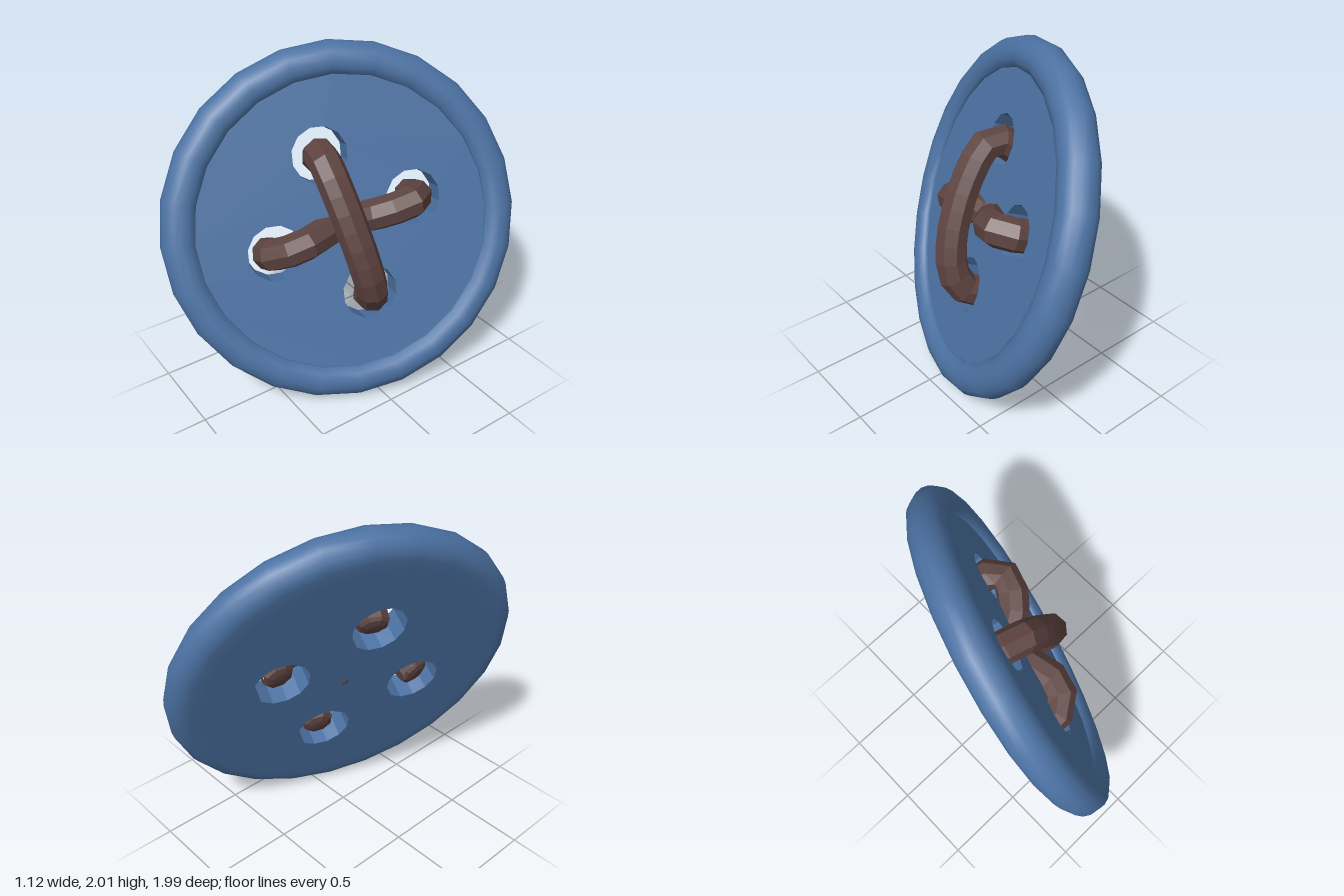
import * as THREE from 'three';

const blue = new THREE.MeshStandardMaterial({ color: 0x4c72a3 });
blue.name = 'buttonBlue';
const brown = new THREE.MeshStandardMaterial({ color: 0x5d4340, flatShading: true });
brown.name = 'threadBrown';

const FLOOR = 0.055, BACK = -0.112, HOLE_DIST = 0.436, HOLE_R = 0.165, THREAD_R = 0.097;
const RIM_R = 0.947, RIM_TUBE = 0.112;

function polygon(target, cx, cy, r, sides) {
  const pts = [];
  for (let i = 0; i < sides; i++) {
    const a = (i / sides) * Math.PI * 2;
    pts.push(new THREE.Vector2(cx + r * Math.cos(a), cy + r * Math.sin(a)));
  }
  return target.setFromPoints(pts);
}

function add(parent, name, geometry, material) {
  const mesh = new THREE.Mesh(geometry, material);
  mesh.name = name;
  parent.add(mesh);
  return mesh;
}

// Flat disc with four thread holes
function buildDisc(parent) {
  const shape = polygon(new THREE.Shape(), 0, 0, 0.885, 24);
  for (let i = 0; i < 4; i++) {
    const a = (i * Math.PI) / 2;
    shape.holes.push(polygon(new THREE.Path(), HOLE_DIST * Math.cos(a), HOLE_DIST * Math.sin(a), HOLE_R, 12));
  }
  const geo = new THREE.ExtrudeGeometry(shape, { depth: FLOOR - BACK, bevelEnabled: false });
  geo.translate(0, 0, BACK);
  add(parent, 'disc', geo, blue);
}

// Round rim, raised on the front and flush with the back
function buildRim(parent) {
  const profile = [new THREE.Vector2(0.88, BACK)];
  for (let deg = -90; deg <= 135; deg += 22.5) {
    const a = THREE.MathUtils.degToRad(deg);
    profile.push(new THREE.Vector2(RIM_R + RIM_TUBE * Math.cos(a), RIM_TUBE * Math.sin(a)));
  }
  profile.push(new THREE.Vector2(0.867, FLOOR));
  const geo = new THREE.LatheGeometry(profile, 24);
  geo.rotateX(Math.PI / 2);
  add(parent, 'rim', geo, blue);
}

// Thread strand between two opposite holes; points are [distance along, height above floor]
function buildStrand(parent, name, points, alongY) {
  const strand = new THREE.Group();
  strand.name = name;
  const curve = new THREE.CatmullRomCurve3(points.map(([t, h]) =>
    new THREE.Vector3(alongY ? 0 : t, alongY ? t : 0, h + FLOOR)));
  add(strand, 'strandBody', new THREE.TubeGeometry(curve, 12, THREAD_R, 8), brown);
  // Blunt rounded ends
  for (const end of [0, 1]) {
    const cap = add(strand, 'strandEnd',
      new THREE.SphereGeometry(THREAD_R, 8, 3, 0, Math.PI * 2, 0, Math.PI / 2), brown);
    const outward = curve.getTangentAt(end).multiplyScalar(end ? 1 : -1);
    cap.scale.y = 0.4;
    cap.position.copy(curve.getPointAt(end));
    cap.quaternion.setFromUnitVectors(new THREE.Vector3(0, 1, 0), outward);
  }
  parent.add(strand);
}

export function createModel() {
  const model = new THREE.Group();
  model.name = 'sewingButton';
  const button = new THREE.Group();
  button.name = 'button';
  buildDisc(button);
  buildRim(button);
  buildStrand(button, 'upperStrand', [
    [0.41, -0.1], [0.44, 0], [0.4, 0.085], [0.2, 0.15], [0, 0.17],
    [-0.2, 0.16], [-0.385, 0.1], [-0.465, 0], [-0.47, -0.09],
  ], true);
  buildStrand(button, 'lowerStrand', [
    [0.44, -0.1], [0.455, 0], [0.4, 0.09], [0.24, 0.07], [0.02, -0.08],
    [-0.12, -0.02], [-0.29, 0.07], [-0.43, 0.03], [-0.48, -0.1],
  ], false);

  // Tilt so the face looks mostly toward +x, slightly up and forward
  const normal = new THREE.Vector3(0.88, 0.336, 0.336).normalize();
  const up = new THREE.Vector3(-0.378, 0.915, 0.137);
  const across = new THREE.Vector3().crossVectors(up, normal).normalize();
  up.crossVectors(normal, across);
  button.quaternion.setFromRotationMatrix(new THREE.Matrix4().makeBasis(across, up, normal));
  button.position.y = 1;
  model.add(button);
  return model;
}
